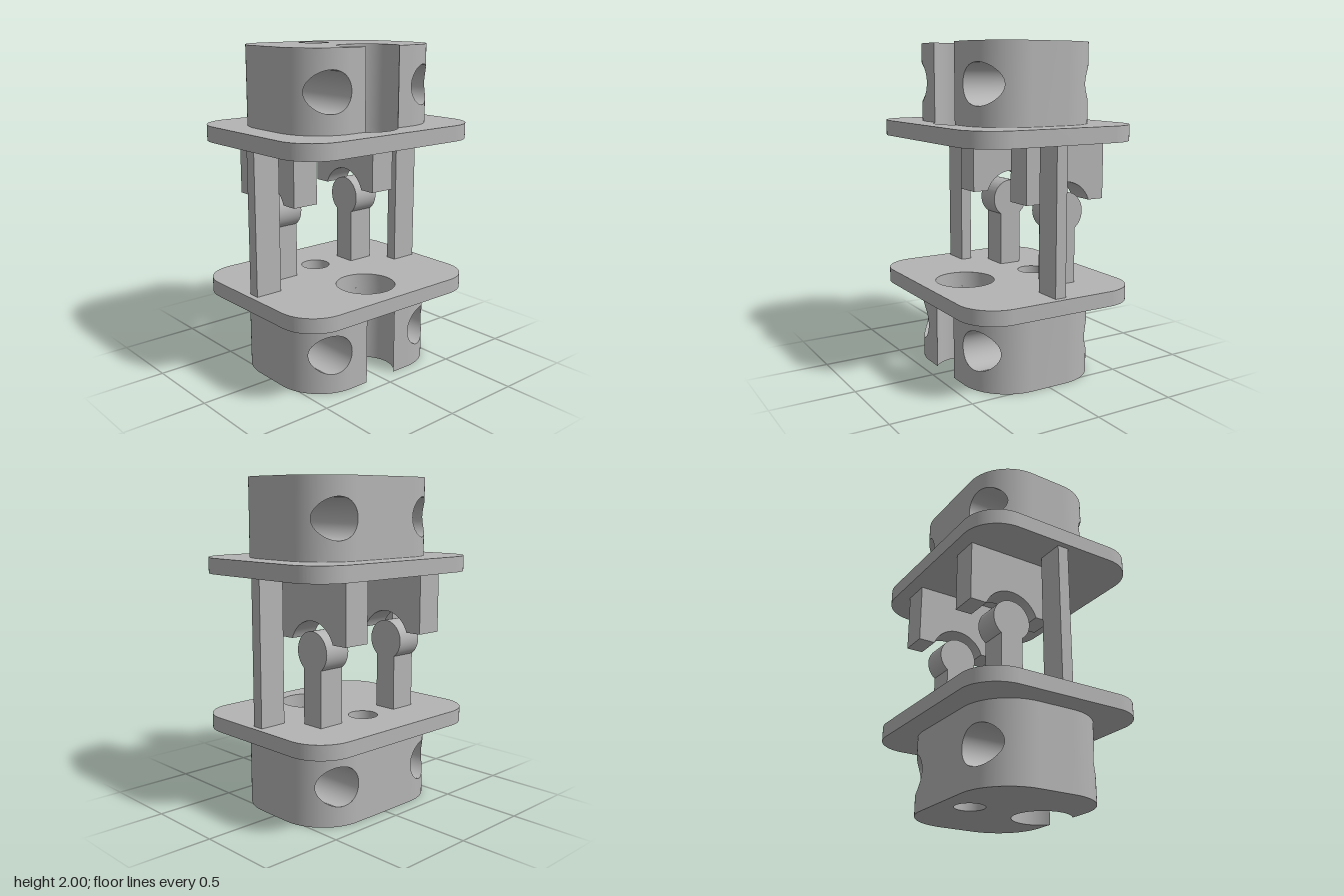
import * as THREE from 'three';
import { mergeGeometries, toCreasedNormals } from 'three/addons/utils/BufferGeometryUtils.js';

const grey = new THREE.MeshStandardMaterial({ color: 0xb4b4b4 });
grey.name = 'grey';

// Vertical bores shared by blocks and plates: centre z and radius
const SMALL = { z: -0.22, r: 0.09 };
const LARGE = { z: 0.27, r: 0.18 };
// Horizontal bores through the blocks, mirrored in x
const BORE = { x: 0.35, r: 0.12 };

function mesh(name, geometry) {
  const m = new THREE.Mesh(geometry, grey);
  m.name = name;
  return m;
}

// Strip of quads between two rows of [x, y, z] points
function ribbon(a, b) {
  const pos = [];
  for (let i = 0; i < a.length - 1; i++) {
    pos.push(...a[i], ...a[i + 1], ...b[i + 1], ...a[i], ...b[i + 1], ...b[i]);
  }
  const g = new THREE.BufferGeometry();
  g.setAttribute('position', new THREE.Float32BufferAttribute(pos, 3));
  return g;
}

// Points [x, z] around a vertical bore, running so its wall faces inward
function boreArc({ z, r }, start, end, n = 48) {
  return Array.from({ length: n + 1 }, (_, i) => {
    const t = start + (end - start) * i / n;
    return [r * Math.sin(t), z + r * Math.cos(t)];
  });
}

// Rounded block with an open slot, a vertical bore and two horizontal bores.
// dir is +1 when the free cap is on top, -1 when it is underneath.
function block(name, W, D, R, y0, y1, yc, dir) {
  const outlineZ = x => D - R + Math.sqrt(Math.max(0, R * R - Math.max(0, x - W + R) ** 2));
  const boreH = x => Math.sqrt(Math.max(0, BORE.r ** 2 - (Math.abs(x) - BORE.x) ** 2));
  const s = Math.sqrt(LARGE.r ** 2 - (D - LARGE.z) ** 2);

  // x stations that follow both the rounded corner and the horizontal bore
  let xs = [s];
  for (let i = 0; i <= 20; i++) xs.push(W - R + R * Math.sin(i / 20 * Math.PI / 2));
  for (let i = 0; i <= 24; i++) xs.push(BORE.x + BORE.r * Math.cos(i / 24 * Math.PI));
  xs = xs.sort((p, q) => p - q).filter((x, i, all) => i === 0 || x - all[i - 1] > 1e-6);
  const back = [...xs].reverse();
  const path = [
    ...xs.map(x => [x, outlineZ(x)]),
    ...back.map(x => [x, -outlineZ(x)]),
    ...xs.map(x => [-x, -outlineZ(x)]),
    ...back.map(x => [-x, outlineZ(x)]),
  ];
  const a = Math.asin(s / LARGE.r);
  const slot = boreArc(LARGE, -a, a - 2 * Math.PI);
  const hole = boreArc(SMALL, 0, -2 * Math.PI);
  const row = (pts, yOf) => pts.map(([x, z]) => [x, yOf(x), z]);

  // Outer wall below and above the bores, then slot and bore walls
  const parts = [
    ribbon(row(path, () => y0), row(path, x => yc - boreH(x))),
    ribbon(row(path, x => yc + boreH(x)), row(path, () => y1)),
    ribbon(row(slot, () => y0), row(slot, () => y1)),
    ribbon(row(hole, () => y0), row(hole, () => y1)),
  ];
  for (const side of [-1, 1]) {
    const ring = sign => Array.from({ length: 49 }, (_, i) => {
      const t = i / 24 * Math.PI;
      const x = BORE.x + BORE.r * Math.cos(t) * side;
      return [side * x, yc + BORE.r * Math.sin(t), sign * outlineZ(x)];
    });
    parts.push(ribbon(ring(1), ring(-1)));
  }

  // Free cap
  const flat = pts => pts.map(([x, z]) => new THREE.Vector2(x, -dir * z));
  const shape = new THREE.Shape(flat([...path, ...slot.slice(1, -1)]));
  shape.holes.push(new THREE.Path(flat(hole.slice(0, -1))));
  const cap = new THREE.ShapeGeometry(shape).toNonIndexed();
  cap.deleteAttribute('uv');
  cap.deleteAttribute('normal');
  cap.rotateX(-dir * Math.PI / 2).translate(0, dir > 0 ? y1 : y0, 0);
  parts.push(cap);
  return mesh(name, toCreasedNormals(mergeGeometries(parts), 0.5));
}

// Rounded plate with the two vertical bores
function plate(name, y0, y1) {
  const W = 0.675, D = 0.555, R = 0.225, q = Math.PI / 2;
  const shape = new THREE.Shape();
  shape.absarc(W - R, D - R, R, 0, q);
  shape.absarc(R - W, D - R, R, q, 2 * q);
  shape.absarc(R - W, R - D, R, 2 * q, 3 * q);
  shape.absarc(W - R, R - D, R, 3 * q, 4 * q);
  for (const b of [SMALL, LARGE]) {
    shape.holes.push(new THREE.Path().absarc(0, -b.z, b.r, 0, 4 * q, true));
  }
  const g = new THREE.ExtrudeGeometry(shape, { depth: y1 - y0, bevelEnabled: false, curveSegments: 24 });
  g.rotateX(-q).translate(0, y0, 0);
  return mesh(name, toCreasedNormals(g, 0.5));
}

// Side profile drawn in (z, y), extruded across x and centred on x = cx
function profilePart(name, shape, cx, width) {
  const g = new THREE.ExtrudeGeometry(shape, { depth: width, bevelEnabled: false, curveSegments: 32 });
  g.rotateY(-Math.PI / 2).translate(cx + width / 2, 0, 0);
  return mesh(name, toCreasedNormals(g, 0.5));
}

export function createModel() {
  const model = new THREE.Group();
  model.name = 'hingedSpacer';

  model.add(
    block('upperBlock', 0.515, 0.397, 0.28, 1.53, 2, 1.765, 1),
    block('lowerBlock', 0.53, 0.411, 0.295, 0, 0.48, 0.24, -1),
    plate('upperPlate', 1.435, 1.53),
    plate('lowerPlate', 0.48, 0.57),
  );

  const jointZ = -0.195, jointY = 1.007;

  // Socket with a round cut in its underside
  const socketR = 0.182, socketY = 1.07;
  const sa = Math.asin((socketY - jointY) / socketR);
  const socket = new THREE.Shape();
  socket.moveTo(0.08, socketY);
  socket.lineTo(0.08, 1.435);
  socket.lineTo(-0.47, 1.435);
  socket.lineTo(-0.47, socketY);
  socket.absarc(jointZ, jointY, socketR, Math.PI - sa, sa, true);

  // Stem with a round head
  const headR = 0.122, stemHalf = 0.072;
  const ha = Math.acos(stemHalf / headR);
  const pin = new THREE.Shape();
  pin.moveTo(jointZ - stemHalf, 0.57);
  pin.lineTo(jointZ + stemHalf, 0.57);
  pin.absarc(jointZ, jointY, headR, -ha, Math.PI + ha, false);

  for (const [side, sign] of [['left', 1], ['right', -1]]) {
    model.add(profilePart(side + 'Socket', socket, sign * 0.31, 0.17));
    model.add(profilePart(side + 'Pin', pin, sign * 0.31, 0.17));
    const post = mesh(side + 'Post', new THREE.BoxGeometry(0.17, 0.865, 0.07));
    post.position.set(sign * 0.555, 1.0025, 0.004);
    model.add(post);
  }
  return model;
}
